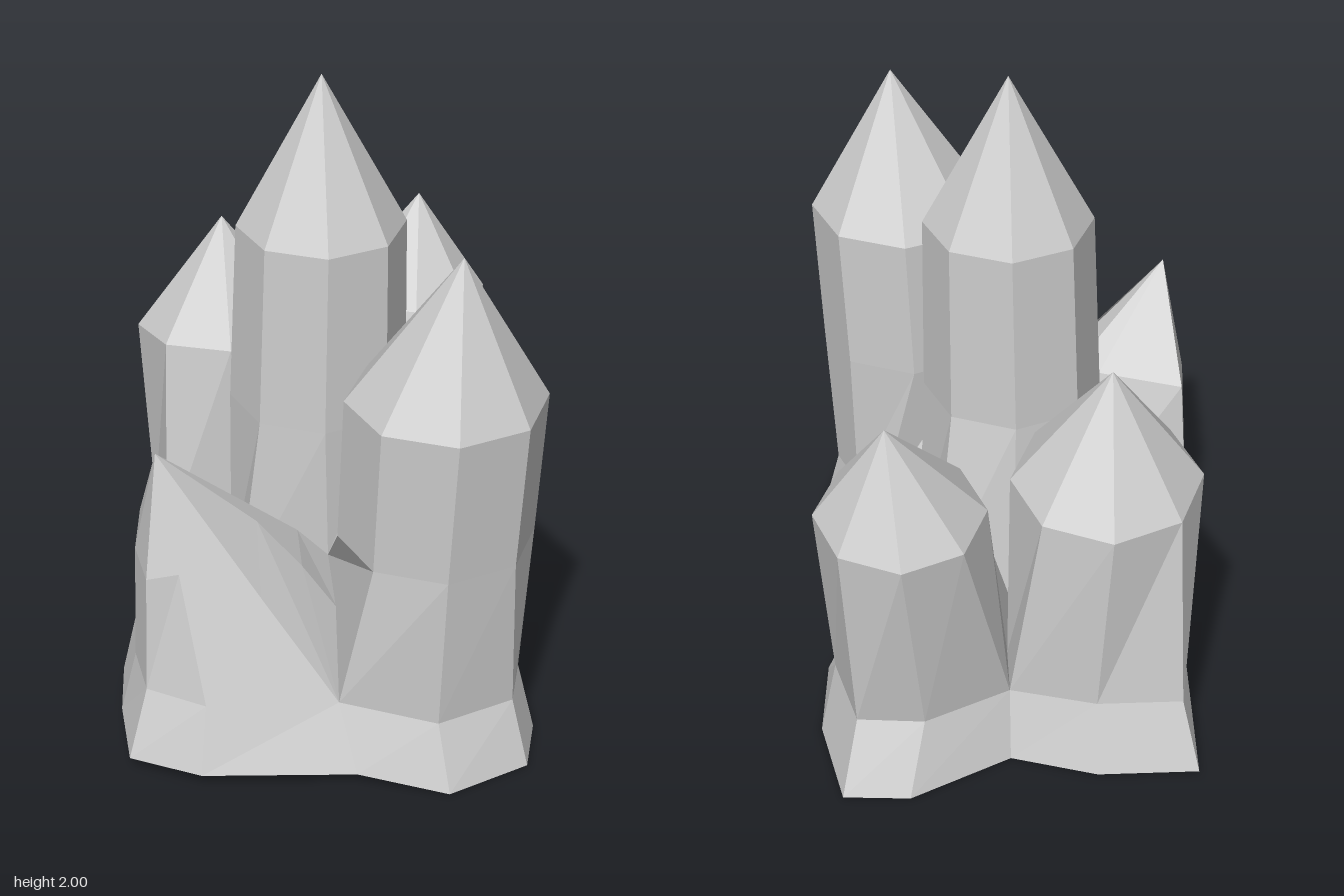
import * as THREE from 'three';

const material = new THREE.MeshStandardMaterial({ color: 0xcccccc, flatShading: true, side: THREE.DoubleSide });

function makeMesh(name, triangles) {
  const geometry = new THREE.BufferGeometry();
  geometry.setAttribute('position', new THREE.Float32BufferAttribute(triangles.flat(2), 3));
  geometry.computeVertexNormals();
  const mesh = new THREE.Mesh(geometry, material);
  mesh.name = name;
  return mesh;
}

// Wall between two closed rings of points
function wall(lower, upper) {
  return lower.flatMap((a, i) => {
    const j = (i + 1) % lower.length;
    return [[a, upper[i], lower[j]], [lower[j], upper[i], upper[j]]];
  });
}

// Fan from a point to a closed ring
const fan = (tip, ring) => ring.map((p, i) => [p, tip, ring[(i + 1) % ring.length]]);

// Octagonal ring, sloped along z by tilt
function octagon(cx, y, cz, r, tilt = 0) {
  return Array.from({ length: 8 }, (_, i) => {
    const angle = (i * Math.PI) / 4;
    const dz = r * Math.sin(angle);
    return [cx + r * Math.cos(angle), y + tilt * dz, cz + dz];
  });
}

// Crystal from rings stacked upwards and a tip
function crystal(name, rings, tip) {
  const walls = rings.slice(1).flatMap((ring, i) => wall(rings[i], ring));
  return makeMesh(name, [...walls, ...fan(tip, rings[rings.length - 1])]);
}

export function createModel() {
  const group = new THREE.Group();
  group.name = 'crystalCluster';

  // Valley points shared by neighbouring crystals
  const frontValley = [0.01, 0.25, 0.82];
  const innerFront = [0.02, 0.45, 0.28];
  const innerLeft = [0.27, 0.3, 0.22];
  const innerRight = [-0.27, 0.25, 0.2];
  const backRightValley = [-0.2, 0.26, -0.23];
  const backMiddle = [0.02, 0.25, -0.36];
  const backLeftValley = [0.28, 0.28, -0.32];
  const backInner = [0.05, 0.22, -0.55];
  const backValley = [0.05, 0.22, -0.74];
  const ledgeLeft = [0.32, 0.31, -0.04];
  const ledgeRight = [-0.28, 0.25, 0];

  // Bottom rings of the crystals, running from +x towards +z
  const centre = [ledgeLeft, innerLeft, innerFront, innerRight, ledgeRight, backRightValley, backMiddle, backLeftValley];
  const frontLeft = [
    [0.6, 0.21, 0.6], [0.555, 0.21, 0.79], [0.31, 0.21, 0.9], frontValley,
    innerFront, innerLeft, [0.45, 0.22, 0.3], [0.53, 0.21, 0.42],
  ];
  const backRight = [
    backInner, backMiddle, backRightValley, [-0.49, 0.22, -0.23],
    [-0.52, 0.22, -0.52], [-0.49, 0.22, -0.82], [-0.22, 0.22, -0.82], backValley,
  ];
  const backLeft = [
    [0.6, 0.22, -0.59], [0.54, 0.22, -0.36], backLeftValley, backMiddle,
    backInner, backValley, [0.32, 0.22, -0.88], [0.53, 0.22, -0.86],
  ];
  const frontRight = [
    [0.03, 0.4, 0.52], frontValley, frontValley, [-0.4, 0.25, 0.81], [-0.58, 0.25, 0.7],
    [-0.61, 0.25, 0.5], [-0.6, 0.25, 0.25], innerRight, innerFront,
  ];
  // Slanting shoulder of the short crystal
  const frontRightShoulder = [
    [-0.08, 0.55, 0.5], [-0.22, 0.72, 0.5], [-0.22, 0.57, 0.71], [-0.47, 0.65, 0.68], [-0.57, 0.63, 0.67],
    [-0.6, 0.63, 0.48], [-0.58, 0.66, 0.3], [-0.3, 0.7, 0.34], [-0.08, 0.56, 0.3],
  ];

  group.add(
    crystal('centreCrystal', [centre, octagon(0.01, 0.9, 0, 0.285), octagon(0.02, 1.5, 0, 0.27)], [0.02, 2, 0]),
    crystal('frontLeftCrystal',
      [frontLeft, octagon(0.325, 0.73, 0.62, 0.305), octagon(0.345, 1.21, 0.64, 0.31)], [0.38, 1.69, 0.68]),
    crystal('backRightCrystal', [backRight, octagon(-0.26, 0.89, -0.54, 0.3, 0.13)], [-0.27, 1.28, -0.55]),
    crystal('backLeftCrystal', [backLeft, octagon(0.38, 0.905, -0.72, 0.265, 0.13)], [0.42, 1.24, -0.77]),
    crystal('frontRightCrystal', [frontRight, frontRightShoulder], [-0.53, 1.01, 0.56]),
  );

  // Flared rock skirt around the outer crystal bottoms, open underneath
  const waistLeft = [0.42, 0.22, 0];
  const waistRight = [-0.43, 0.22, 0];
  const rim = [
    waistLeft, ...frontLeft.slice(6), ...frontLeft.slice(0, 4), ...frontRight.slice(3, 7),
    waistRight, ...backRight.slice(3), ...backLeft.slice(6), ...backLeft.slice(0, 2),
  ];
  const foot = [
    [0.5, 0, 0], [0.5, 0, 0.33], [0.57, 0, 0.42], [0.65, 0, 0.64], [0.6, 0, 0.85], [0.34, 0, 0.98],
    [0.06, 0.04, 0.91], [-0.42, 0.04, 0.88], [-0.64, 0.04, 0.77], [-0.66, 0.04, 0.5], [-0.65, 0.04, 0.27],
    [-0.45, 0, 0], [-0.54, 0, -0.25], [-0.54, 0, -0.55], [-0.54, 0, -0.9], [-0.22, 0, -0.9],
    [0.05, 0, -0.81], [0.37, 0, -0.985], [0.58, 0, -0.97], [0.65, 0, -0.64], [0.63, 0.04, -0.38],
  ];
  group.add(makeMesh('rockSkirt', wall(foot, rim)));

  // Ledges between the crystals on either side
  group.add(
    makeMesh('leftLedge', fan(ledgeLeft, [backLeftValley, backLeft[1], waistLeft, frontLeft[6], innerLeft])),
    makeMesh('rightLedge', fan(ledgeRight, [innerRight, frontRight[6], waistRight, backRight[3], backRightValley])),
  );
  return group;
}
